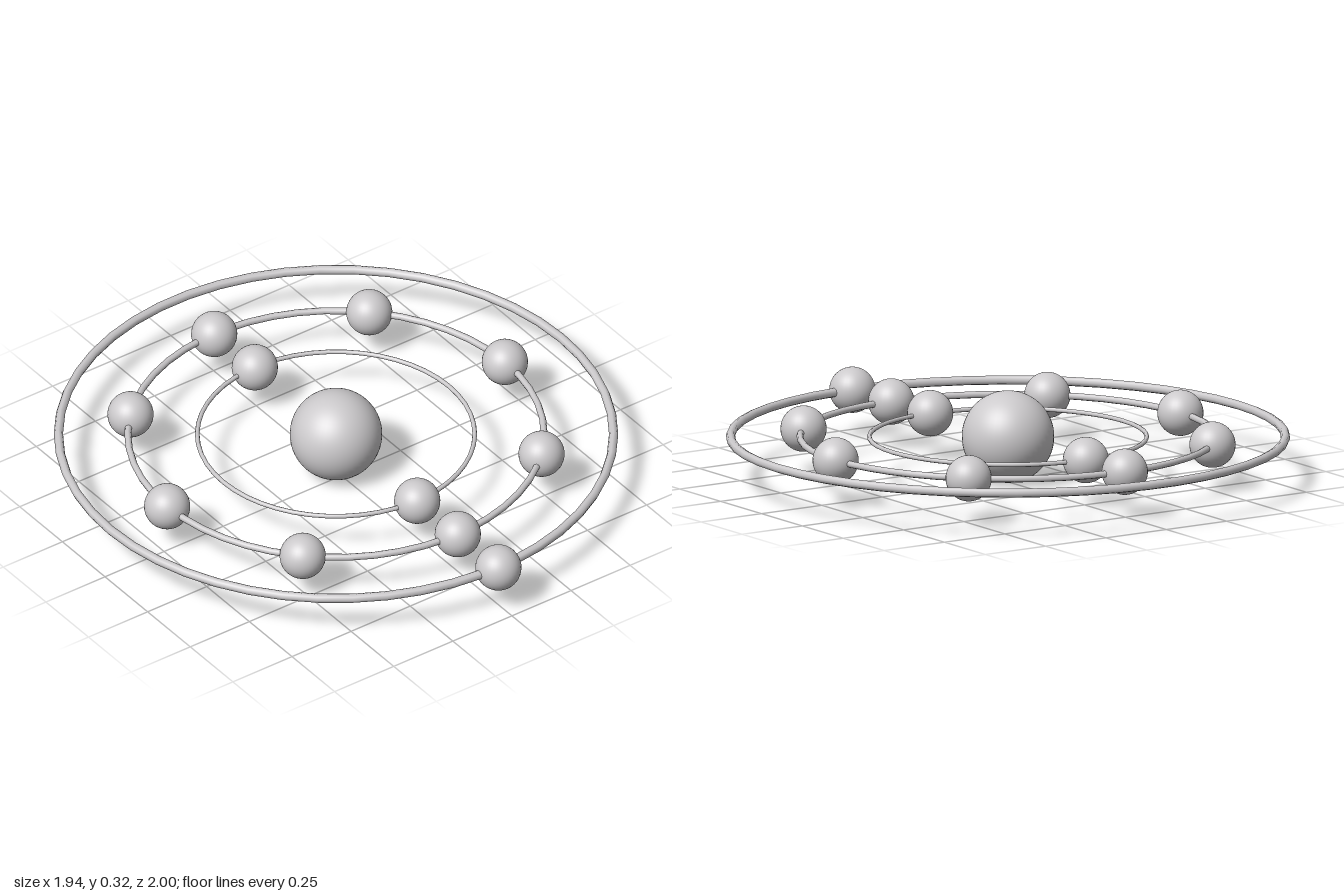
import * as THREE from 'three';

// One unit is the nucleus radius; the overall depth comes to 2
const U = 2 / 12.6;
const CENTRE_Z = -0.2 * U;

export function createModel() {
  const model = new THREE.Group();
  model.name = 'atom';
  const grey = new THREE.MeshStandardMaterial({ color: 0xcccacc });
  grey.name = 'light grey';

  const add = (parent, name, geometry, x = 0, z = 0) => {
    const mesh = new THREE.Mesh(geometry, grey);
    mesh.name = name;
    mesh.position.set(x, 0, z);
    parent.add(mesh);
    return mesh;
  };

  // Everything lies in one horizontal plane through the nucleus
  const atom = new THREE.Group();
  atom.name = 'nucleusAndShells';
  atom.position.set(0, U, CENTRE_Z);
  model.add(atom);

  add(atom, 'nucleus', new THREE.SphereGeometry(U, 48, 32));

  // Electron shells: thicker rings further out, electrons evenly spaced from the front
  const electron = new THREE.SphereGeometry(0.5 * U, 32, 24);
  const shells = [
    { name: 'inner', radius: 3, tube: 0.05, electrons: 2 },
    { name: 'middle', radius: 4.5, tube: 0.075, electrons: 8 },
    { name: 'outer', radius: 6, tube: 0.1, electrons: 1 },
  ];
  for (const { name, radius, tube, electrons } of shells) {
    const shell = new THREE.Group();
    shell.name = name + 'Shell';
    atom.add(shell);
    const ring = new THREE.TorusGeometry(radius * U, tube * U, 8, 50);
    add(shell, name + 'Orbit', ring.rotateX(Math.PI / 2));
    for (let i = 0; i < electrons; i++) {
      const a = (i / electrons) * Math.PI * 2;
      add(shell, name + 'Electron', electron, Math.sin(a) * radius * U, Math.cos(a) * radius * U);
    }
  }
  return model;
}
